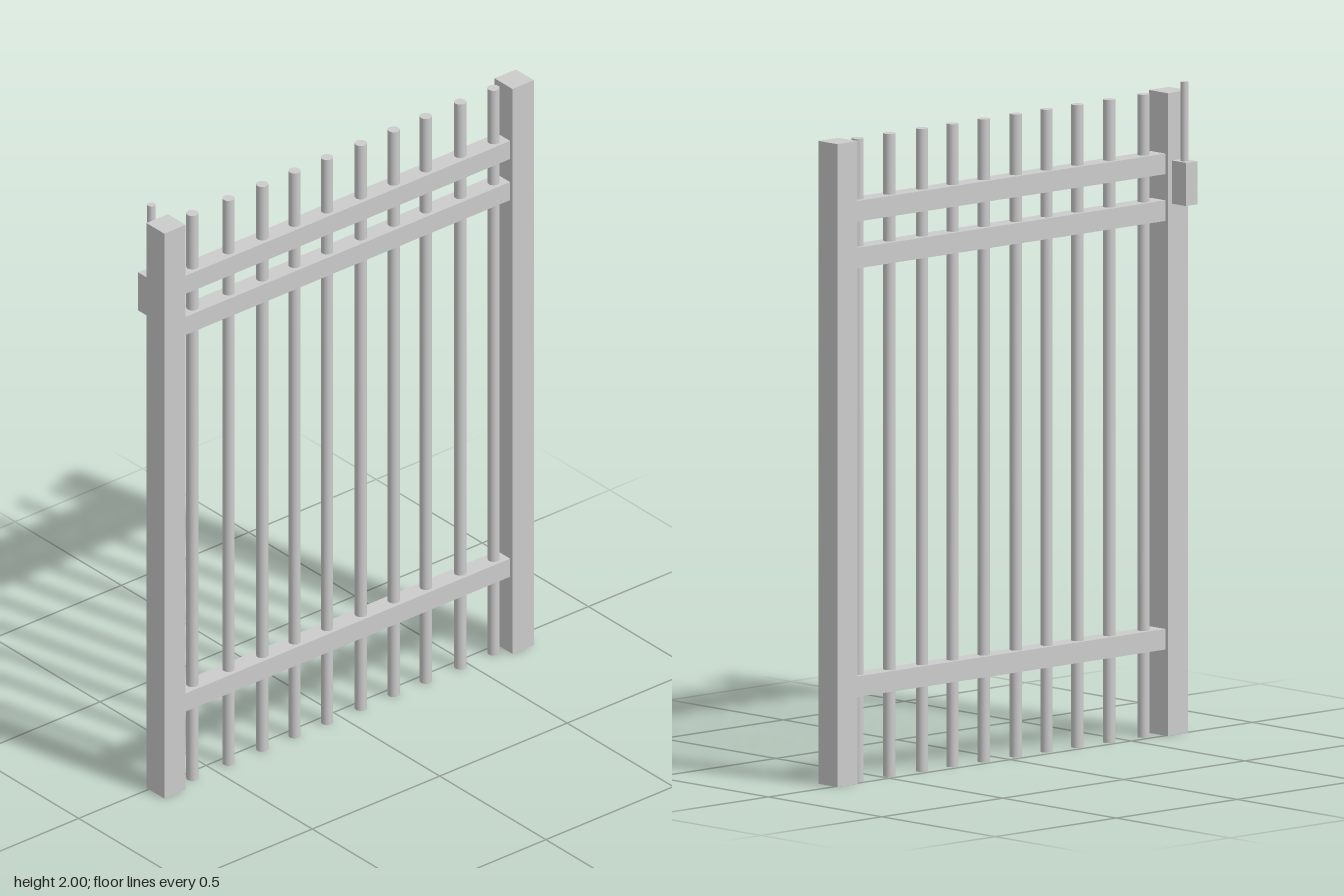
import * as THREE from 'three';

const material = new THREE.MeshStandardMaterial({ color: 0xcccccc });

export function createModel() {
  const gate = new THREE.Group();
  gate.name = 'gate';

  const add = (name, geometry, x, y, z) => {
    const mesh = new THREE.Mesh(geometry, material);
    mesh.name = name;
    mesh.position.set(x, y, z);
    gate.add(mesh);
  };

  const frameX = 0.031;
  const height = 1.965;
  const postSize = 0.084;
  const postZ = 0.683;

  // Square posts at both ends
  const post = new THREE.BoxGeometry(postSize, height, postSize);
  add('frontPost', post, frameX, height / 2, postZ);
  add('backPost', post, frameX, height / 2, -postZ);

  // Horizontal rails between the posts
  const rail = new THREE.BoxGeometry(0.062, 0.063, 2 * postZ - postSize);
  add('bottomRail', rail, frameX, 0.295, 0);
  add('middleRail', rail, frameX, 1.605, 0);
  add('topRail', rail, frameX, 1.748, 0);

  // Round vertical bars passing through the rails
  const bar = new THREE.CylinderGeometry(0.0185, 0.0185, height, 24);
  const barZ = [-0.602, -0.471, -0.336, -0.21, -0.081, 0.052, 0.179, 0.306, 0.438, 0.58];
  barZ.forEach((z, i) => add(`bar${i + 1}`, bar, frameX, height / 2, z));

  // Latch block on the side of the front post, with its upright rod
  add('latchBlock', new THREE.BoxGeometry(0.063, 0.132, 0.048), -0.0425, 1.692, 0.681);
  add('latchRod', new THREE.CylinderGeometry(0.0125, 0.0125, 0.25, 20), -0.0415, 1.875, 0.681);

  return gate;
}
